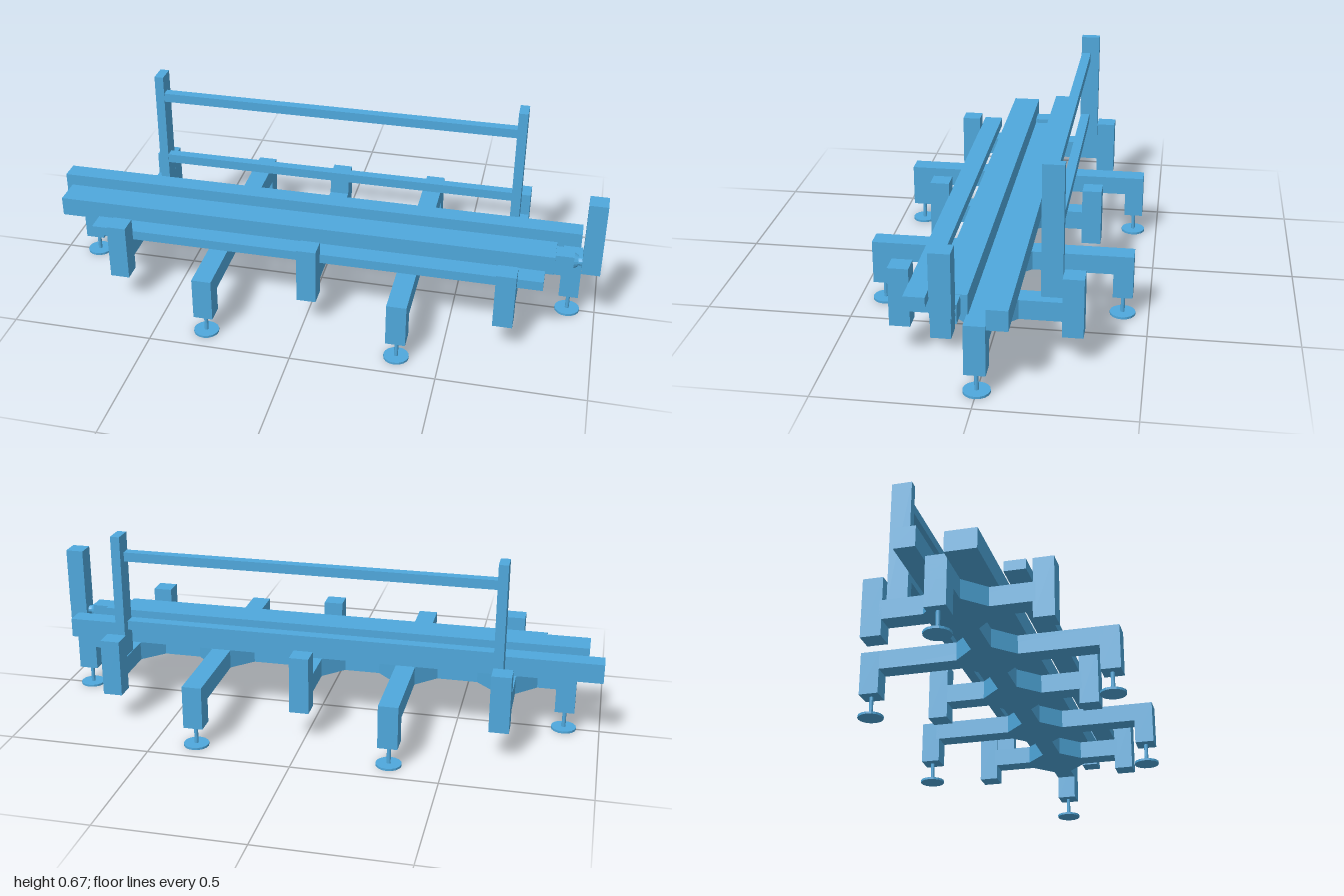
import * as THREE from 'three';

export function createModel() {
  const model = new THREE.Group();
  model.name = 'conveyorFrame';
  const material = new THREE.MeshStandardMaterial({ color: 0x4fa8dc, flatShading: true });

  function add(name, geometry, x = 0, y = 0, z = 0) {
    const mesh = new THREE.Mesh(geometry, material);
    mesh.name = name;
    mesh.position.set(x, y, z);
    model.add(mesh);
    return mesh;
  }
  // Box given by its limits on each axis
  const box = (name, x0, x1, y0, y1, z0, z1) =>
    add(name, new THREE.BoxGeometry(x1 - x0, y1 - y0, z1 - z0),
      (x0 + x1) / 2, (y0 + y1) / 2, (z0 + z1) / 2);

  const H = 0.034;                // half width of the square tubing
  const LOW = 0.163, TOP = 0.229; // bottom and top of the base frame

  // Levelling foot: disc and threaded stem
  function foot(x, z) {
    add('footDisc', new THREE.CylinderGeometry(0.044, 0.044, 0.008, 16), x, 0.004, z);
    add('footStem', new THREE.CylinderGeometry(0.007, 0.007, 0.072, 12), x, 0.042, z);
  }

  // Central spine with a leg at each end
  box('spine', -0.91, 0.937, LOW, TOP, -H, H);
  for (const x of [-0.876, 0.903]) {
    box('endLeg', x - H, x + H, 0.076, 0.245, -H, H);
    foot(x, 0);
  }

  // Chamfered gusset plate around a crossing
  const g = 0.105;
  const octagon = new THREE.Shape([
    [H, g], [-H, g], [-g, H], [-g, -H], [-H, -g], [H, -g], [g, -H], [g, H],
  ].map(([x, y]) => new THREE.Vector2(x, y)));
  const gusset = new THREE.ExtrudeGeometry(octagon, { depth: TOP - LOW, bevelEnabled: false });
  gusset.rotateX(-Math.PI / 2);

  // Short cross arms with upright end blocks
  for (const x of [-0.671, 0.014, 0.695]) {
    add('gusset', gusset, x, LOW, 0);
    box('shortArm', x - H, x + H, LOW, TOP, -0.25, 0.25);
    for (const s of [-1, 1]) {
      add('armEndBlock', new THREE.BoxGeometry(2 * H, 0.203, 0.068), x, 0.2095, s * 0.275);
    }
  }

  // Long cross arms with outrigger legs
  for (const x of [-0.32, 0.353]) {
    add('gusset', gusset, x, LOW, 0);
    box('longArm', x - H, x + H, LOW, TOP, -0.39, 0.39);
    for (const s of [-1, 1]) {
      add('outriggerLeg', new THREE.BoxGeometry(2 * H, TOP - 0.076, 0.067), x, (TOP + 0.076) / 2, s * 0.411);
      foot(x, s * 0.411);
    }
  }

  // Long rails resting on the frame
  box('rearRail', -1, 0.928, TOP, 0.298, -0.102, -H);
  box('frontRail', -0.946, 0.845, TOP, 0.298, H, 0.136);
  box('lowRail', -0.79, 0.816, TOP, 0.263, 0.172, 0.242);

  // Drive: gearbox, tapered collar, coupling and upright motor
  box('gearbox', 0.845, 0.908, 0.233, 0.296, 0.056, 0.118);
  const collar = add('collar', new THREE.CylinderGeometry(0.028, 0.02, 0.014, 16), 0.915, 0.266, 0.087);
  const coupling = add('coupling', new THREE.CylinderGeometry(0.015, 0.015, 0.03, 16), 0.925, 0.266, 0.087);
  for (const part of [collar, coupling]) part.rotation.z = Math.PI / 2;
  box('driveBase', 0.936, 1, 0.234, 0.3, 0.056, 0.118);
  box('driveMotor', 0.936, 1, 0.3, 0.508, 0.054, 0.12);

  // Rear guard: two posts and two bars
  box('guardPost', -0.67, -0.637, TOP, 0.674, -0.24, -0.171);
  box('guardPost', 0.664, 0.697, TOP, 0.674, -0.24, -0.171);
  for (const y of [0.32, 0.576]) box('guardBar', -0.637, 0.664, y, y + 0.033, -0.207, -0.173);

  return model;
}
